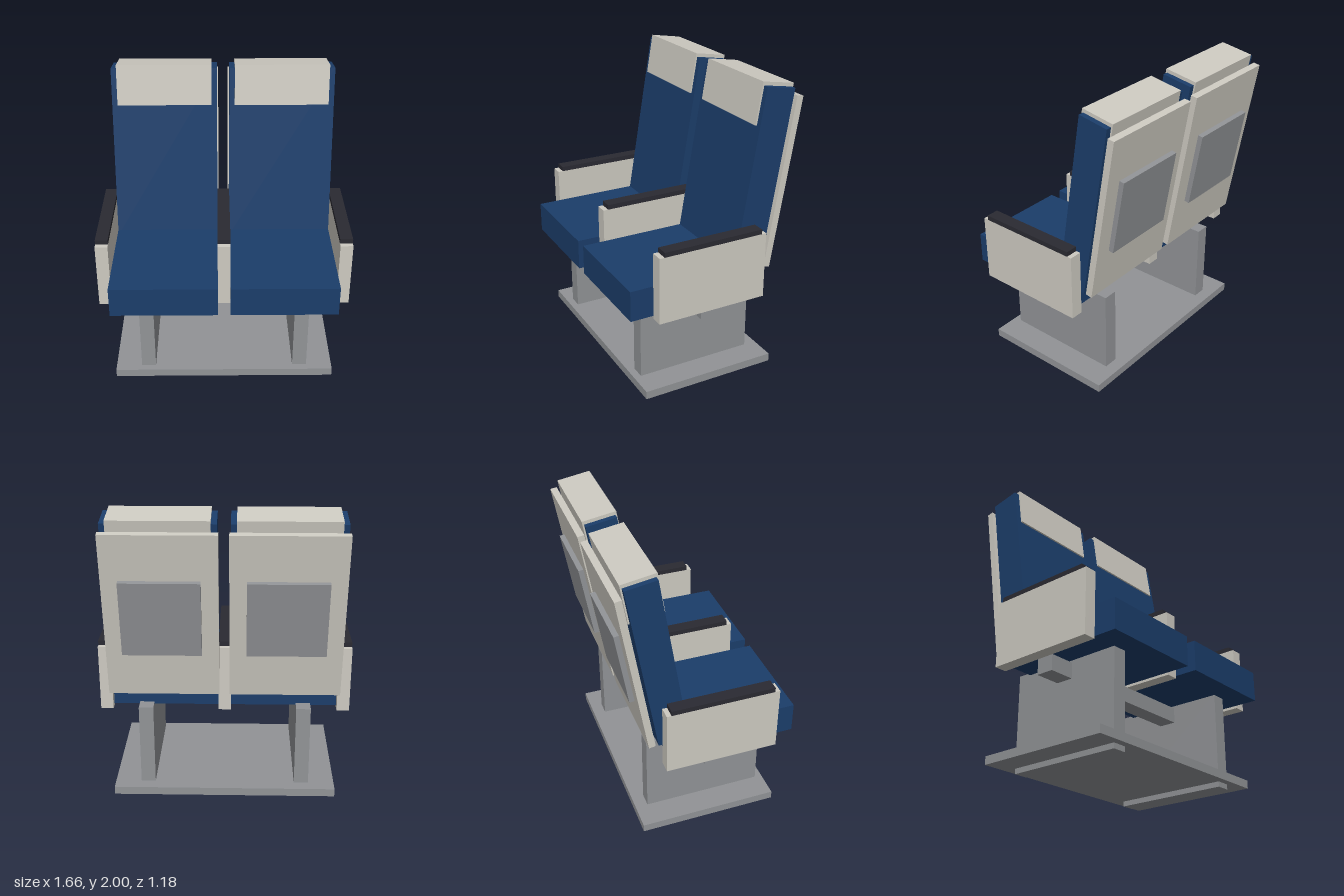
import * as THREE from 'three';

const paint = (name, color) => {
  const m = new THREE.MeshStandardMaterial({ color });
  m.name = name;
  return m;
};

export function createModel() {
  const blue = paint('blue fabric', 0x1b3d6a);
  const beige = paint('beige shell', 0xcdcac1);
  const grey = paint('grey metal', 0x919396);
  const dark = paint('dark padding', 0x2a2a32);

  const model = new THREE.Group();
  model.name = 'doubleSeat';

  // box from its size and centre, optionally reclined about x
  const box = (parent, name, mat, [w, h, d], [x, y, z], tilt = 0) => {
    const mesh = new THREE.Mesh(new THREE.BoxGeometry(w, h, d), mat);
    mesh.name = name;
    mesh.position.set(x, y, z);
    mesh.rotation.x = -tilt;
    parent.add(mesh);
  };

  // base frame
  box(model, 'basePlate', grey, [1.49, 0.055, 0.935], [0, 0.0625, 0.0165]);
  box(model, 'crossBeam', grey, [1.49, 0.105, 0.12], [0, 0.5675, 0.034]);
  for (const x of [-0.522, 0.522]) {
    box(model, 'leg', grey, [0.097, 0.65, 0.802], [x, 0.325, 0.034]);
  }

  // armrests: two outer and one shared
  for (const x of [-0.787, 0, 0.787]) {
    box(model, 'armrestPanel', beige, [0.083, 0.445, 0.75], [x, 0.8405, 0.059]);
    box(model, 'armrestPad', dark, [0.083, 0.032, 0.685], [x, 1.079, 0.0575]);
  }

  // seats with reclined backs
  const recline = 0.163;
  for (const side of [-1, 1]) {
    const seat = new THREE.Group();
    seat.name = side < 0 ? 'rightSeat' : 'leftSeat';
    seat.position.x = side * 0.3925;
    model.add(seat);
    box(seat, 'seatCushion', blue, [0.703, 0.205, 0.86], [0, 0.7375, 0.158]);
    box(seat, 'backCushion', blue, [0.703, 1.19, 0.204], [0, 1.372, -0.335], recline);
    box(seat, 'headrestCover', beige, [0.63, 0.27, 0.225], [0, 1.849, -0.413], recline);
    box(seat, 'backShell', beige, [0.72, 1.13, 0.045], [0, 1.335, -0.476], recline);
    box(seat, 'backPocket', grey, [0.505, 0.51, 0.04], [0, 1.336, -0.513], recline);
  }
  return model;
}
